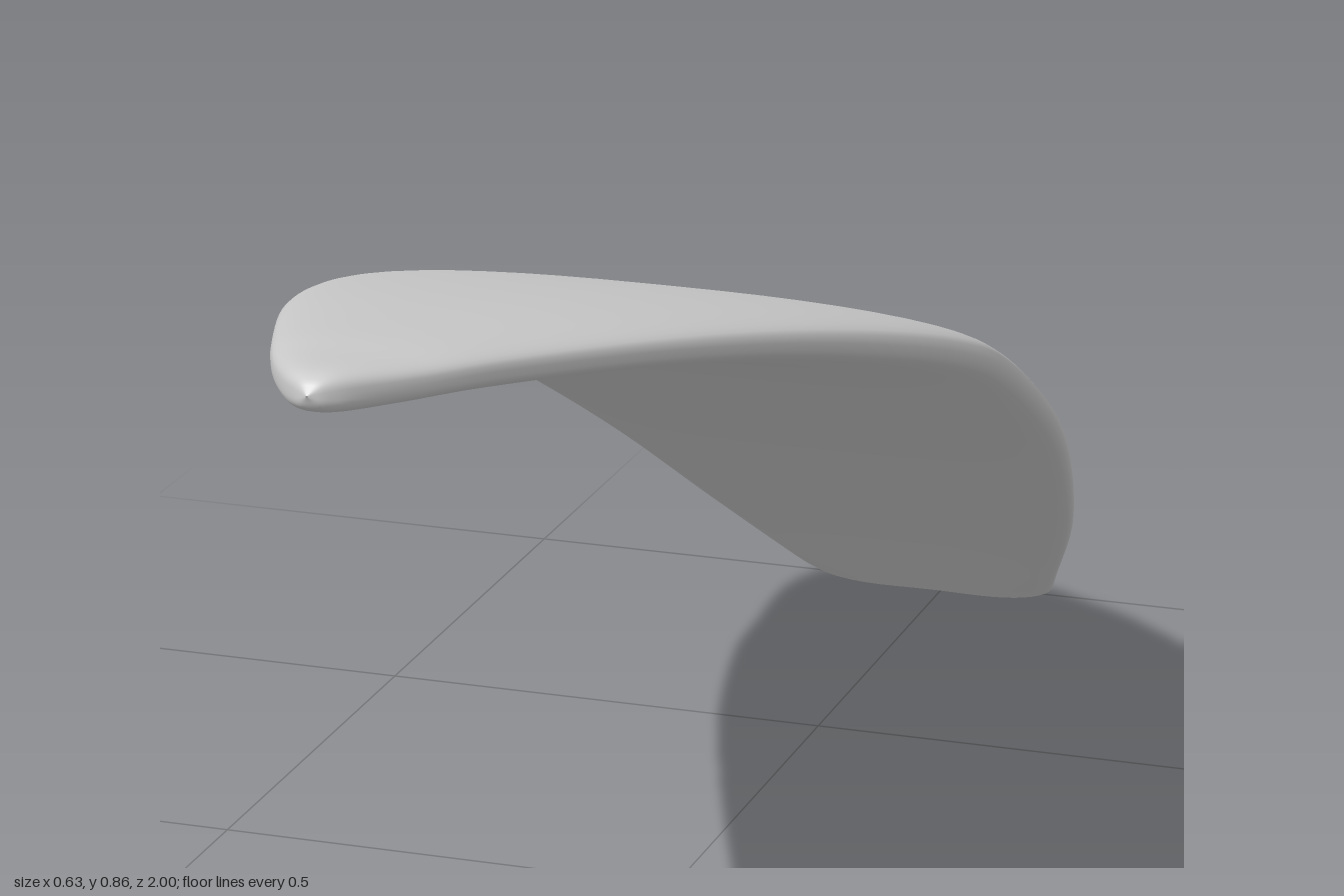
import * as THREE from 'three';

// Stations from tail to nose: z, spine height, half thickness, right (-x) and left (+x) half widths
const STATIONS = [
  [-0.984, 0.025, 0.025, 0.160, 0.134],
  [-0.950, 0.051, 0.026, 0.178, 0.147],
  [-0.800, 0.165, 0.030, 0.230, 0.205],
  [-0.600, 0.302, 0.034, 0.270, 0.256],
  [-0.400, 0.424, 0.037, 0.303, 0.290],
  [-0.150, 0.554, 0.038, 0.314, 0.311],
  [0.000, 0.617, 0.037, 0.306, 0.305],
  [0.200, 0.682, 0.034, 0.276, 0.278],
  [0.400, 0.738, 0.030, 0.236, 0.237],
  [0.600, 0.784, 0.027, 0.184, 0.184],
  [0.800, 0.820, 0.024, 0.114, 0.115],
  [0.900, 0.833, 0.022, 0.073, 0.073],
  [0.965, 0.841, 0.020, 0.038, 0.038],
  [0.990, 0.843, 0.014, 0.017, 0.017],
  [1.000, 0.844, 0.001, 0.001, 0.001],
];
const ROWS = 70, SIDES = 48;

// Signed power used for the rounded, flattened cross-section
const spow = (v, p) => Math.sign(v) * Math.pow(Math.abs(v), p);

function createRings() {
  const spine = new THREE.CatmullRomCurve3(STATIONS.map(([z, y]) => new THREE.Vector3(0, y, z)));
  const size = new THREE.CatmullRomCurve3(
    STATIONS.map(([, , t, r, l]) => new THREE.Vector3(r, t, l)), false, 'catmullrom', 0.5);
  spine.curveType = 'catmullrom';
  const rings = [];
  for (let i = 0; i <= ROWS; i++) {
    const u = i / ROWS;
    const c = spine.getPoint(u), d = spine.getTangent(u), s = size.getPoint(u);
    const ring = [];
    for (let j = 0; j < SIDES; j++) {
      const a = (j / SIDES) * Math.PI * 2;
      const cx = spow(Math.cos(a), 0.8);
      const x = cx * (cx > 0 ? s.z : s.x);
      const h = spow(Math.sin(a), 0.68) * s.y;
      // The cut at the tail is slightly wavy across the width
      const wave = u < 0.05 ? (1 - u / 0.05) * 0.004 * Math.cos((x + 0.01) * 32) : 0;
      ring.push(x, c.y + d.z * h + d.y * wave, c.z - d.y * h + d.z * wave);
    }
    rings.push(ring);
  }
  return rings;
}

function toGeometry(positions, index) {
  const g = new THREE.BufferGeometry();
  g.setAttribute('position', new THREE.Float32BufferAttribute(positions, 3));
  g.setIndex(index);
  g.computeVertexNormals();
  return g;
}

export function createModel() {
  const group = new THREE.Group();
  group.name = 'curvedBlade';
  const material = new THREE.MeshStandardMaterial({ color: 0xcccccc });
  const rings = createRings();

  // Long curved body
  const index = [];
  for (let i = 0; i < ROWS; i++) {
    for (let j = 0; j < SIDES; j++) {
      const k = (j + 1) % SIDES;
      const a = i * SIDES + j, b = i * SIDES + k;
      index.push(a, b, b + SIDES, a, b + SIDES, a + SIDES);
    }
  }
  const body = new THREE.Mesh(toGeometry(rings.flat(), index), material);
  body.name = 'body';
  group.add(body);

  // Flat cut end at the tail: strip between upper and lower edges
  const capIndex = [];
  for (let j = 0; j < SIDES / 2; j++) {
    const a = j, b = j + 1, c = (SIDES - j) % SIDES, d = SIDES - j - 1;
    if (j > 0) capIndex.push(a, c, b);
    if (j < SIDES / 2 - 1) capIndex.push(b, c, d);
  }
  const cap = new THREE.Mesh(toGeometry(rings[0].slice(), capIndex), material);
  cap.name = 'tailEnd';
  group.add(cap);

  return group;
}
